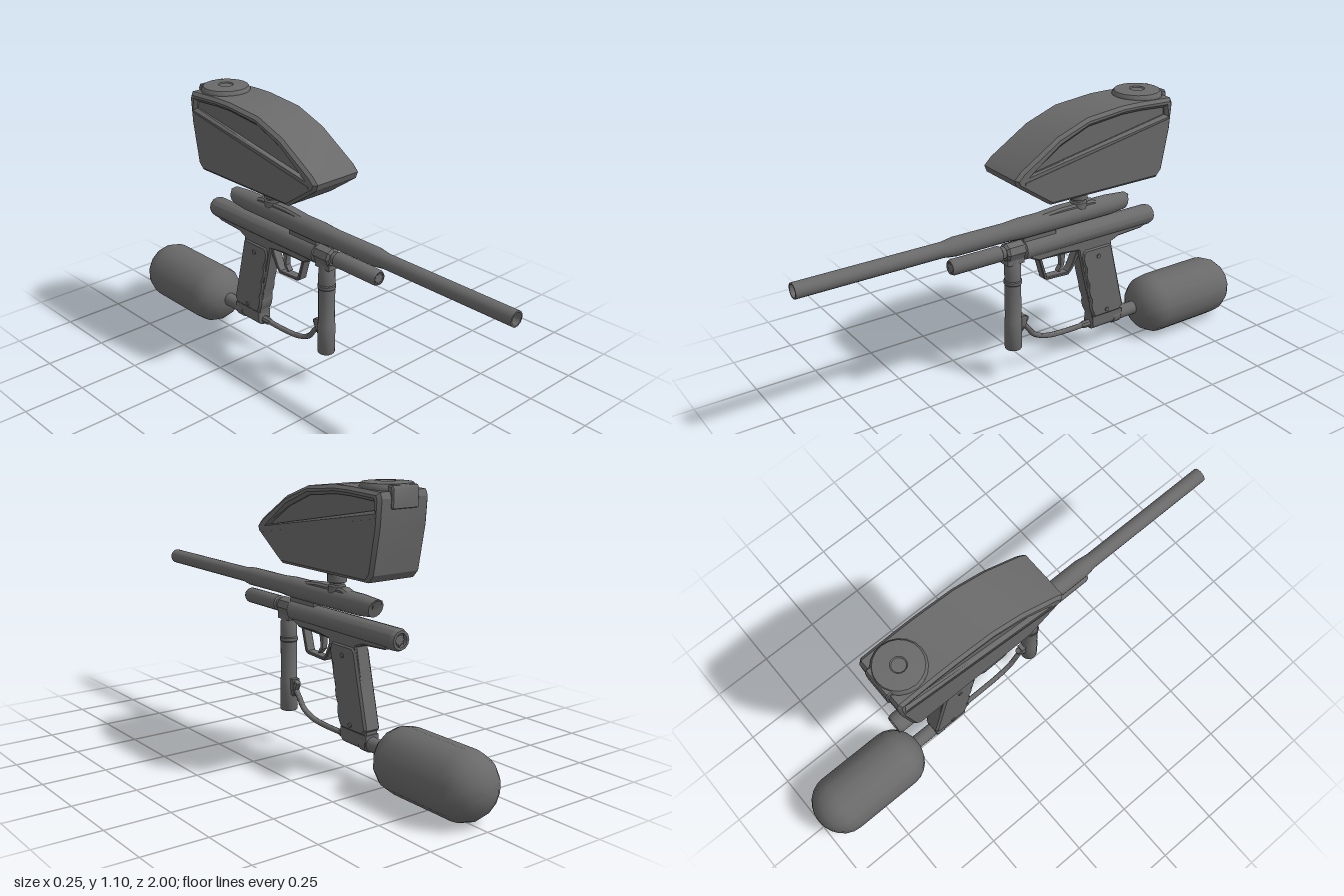
import * as THREE from 'three';
import { toCreasedNormals } from 'three/addons/utils/BufferGeometryUtils.js';

const charcoal = new THREE.MeshStandardMaterial({ color: 0x6a6a6a });

export function createModel() {
  const model = new THREE.Group();

  function add(name, geometry, x = 0, y = 0, z = 0, crease = 0.6) {
    const mesh = new THREE.Mesh(toCreasedNormals(geometry, crease), charcoal);
    mesh.name = name;
    mesh.position.set(x, y, z);
    model.add(mesh);
    return mesh;
  }
  // turned part standing on y; points are [radius, height], bottom to top
  const turned = (pts, sides = 16) =>
    new THREE.LatheGeometry(pts.map(p => new THREE.Vector2(p[0], p[1])), sides);
  // turned part lying along z; points are [radius, z], back to front
  const turnedZ = (pts, sides = 16) => turned(pts, sides).rotateX(Math.PI / 2);
  // side profile of [z, y] points, extruded to a full width across x
  function slab(pts, width, bevel = 0, hole = null) {
    const vec = p => new THREE.Vector2(p[0], p[1]);
    const shape = new THREE.Shape(pts.map(vec));
    if (hole) shape.holes.push(new THREE.Path(hole.map(vec)));
    const depth = width - 2 * bevel;
    return new THREE.ExtrudeGeometry(shape, {
      depth, bevelEnabled: bevel > 0, bevelThickness: bevel, bevelSize: bevel,
      bevelOffset: -bevel, bevelSegments: 1,
    }).translate(0, 0, -depth / 2).rotateY(-Math.PI / 2);
  }
  const box = (w, h, d) => new THREE.BoxGeometry(w, h, d);
  const path = pts => new THREE.CatmullRomCurve3(pts.map(p => new THREE.Vector3(0, p[1], p[0])));

  // barrel with hollow muzzle
  add('barrel', turnedZ([[0, 0.3], [0.03, 0.3], [0.03, 1], [0.024, 1], [0.024, 0.85], [0, 0.85]]), 0, 0.643, 0);

  // upper receiver: its back end is cut at a slant
  const receiver = turnedZ([[0, -0.42], [0.034, -0.42], [0.041, -0.34], [0.042, -0.05],
    [0.042, 0.08], [0.037, 0.15], [0.037, 0.37], [0.03, 0.42], [0, 0.42]]);
  const rp = receiver.attributes.position;
  for (let i = 0; i < rp.count; i++)
    if (rp.getZ(i) < -0.4) rp.setZ(i, rp.getZ(i) - rp.getY(i) * 0.3);
  add('upperReceiver', receiver, 0, 0.643, 0);
  add('receiverRidge', slab([[0.1, 0.66], [-0.02, 0.683], [-0.1, 0.69], [-0.25, 0.69],
    [-0.29, 0.675], [-0.435, 0.672], [-0.42, 0.64], [0.1, 0.64]], 0.05, 0.008));
  add('receiverBridge', box(0.04, 0.04, 0.15), 0, 0.6, 0);

  // lower receiver, with a recessed star-shaped plug at the back
  add('lowerReceiver', turnedZ([[0, -0.54], [0.026, -0.54], [0.026, -0.56], [0.036, -0.56],
    [0.042, -0.545], [0.042, 0.07], [0.034, 0.08], [0, 0.08]], 12), 0, 0.554, 0);
  const star = new THREE.Shape();
  for (let i = 0; i < 16; i++) {
    const r = i % 2 ? 0.016 : 0.024, a = i * Math.PI / 8;
    star[i ? 'lineTo' : 'moveTo'](r * Math.cos(a), r * Math.sin(a));
  }
  const starPlug = () => new THREE.ExtrudeGeometry(star, { depth: 0.012, bevelEnabled: false });
  add('rearPlug', starPlug(), 0, 0.554, -0.552);

  // front chamber, collar and block that carries the front grip
  add('frontChamber', turnedZ([[0, 0.1], [0.024, 0.1], [0.024, 0.17], [0.031, 0.175],
    [0.031, 0.38], [0.026, 0.391], [0.022, 0.391], [0.022, 0.38], [0, 0.38]]), 0, 0.562, 0);
  add('frontPlug', starPlug(), 0, 0.562, 0.377);
  add('chamberCollar', turnedZ([[0, 0.07], [0.038, 0.07], [0.038, 0.145], [0.03, 0.155], [0, 0.155]], 8), 0, 0.558, 0);
  add('frontGripMount', box(0.052, 0.05, 0.075), 0, 0.535, 0.115);

  // vertical front grip
  add('frontGrip', turned([[0, 0.137], [0.032, 0.137], [0.035, 0.142], [0.035, 0.265], [0.033, 0.27],
    [0.033, 0.42], [0.036, 0.424], [0.036, 0.436], [0.033, 0.44], [0.033, 0.5], [0.028, 0.51],
    [0.028, 0.54], [0, 0.54]]), 0, 0, 0.115);

  // grip frame under the receiver
  add('gripFrame', slab([[0.06, 0.555], [0.045, 0.515], [0.01, 0.498], [-0.1, 0.5], [-0.18, 0.49],
    [-0.21, 0.36], [-0.26, 0.165], [-0.26, 0.15], [-0.405, 0.15], [-0.408, 0.19], [-0.345, 0.49],
    [-0.38, 0.505], [-0.5, 0.512], [-0.54, 0.53], [-0.54, 0.555]], 0.06, 0.006));

  // grip panels with shallow finger ridges and screws
  const panel = [];
  for (let i = 0; i <= 12; i++) {
    const t = i / 12, ridge = i % 3 === 0 ? -0.004 : 0.003;
    panel.push([-0.195 - 0.058 * t + ridge, 0.475 - 0.295 * t]);
  }
  panel.push([-0.265, 0.168], [-0.395, 0.168], [-0.413, 0.19], [-0.345, 0.475], [-0.33, 0.488], [-0.21, 0.488]);
  add('gripPanels', slab(panel, 0.072, 0.008), 0, 0, 0, 0.4);
  for (const s of [-1, 1])
    for (const [y, z] of [[0.447, -0.275], [0.192, -0.325]])
      add('gripScrew', new THREE.CylinderGeometry(0.009, 0.009, 0.008, 8).rotateZ(Math.PI / 2), s * 0.037, y, z);

  // trigger guard and trigger
  add('triggerGuard', slab([[0.006, 0.505], [-0.022, 0.408], [-0.035, 0.4], [-0.14, 0.395], [-0.16, 0.415],
    [-0.195, 0.48], [-0.2, 0.505]], 0.04, 0.003,
    [[-0.01, 0.495], [-0.18, 0.488], [-0.15, 0.425], [-0.135, 0.408], [-0.035, 0.412]]));
  add('trigger', slab([[-0.1, 0.505], [-0.108, 0.46], [-0.108, 0.44], [-0.092, 0.418], [-0.1, 0.415],
    [-0.12, 0.435], [-0.125, 0.465], [-0.125, 0.505]], 0.022));

  // bottom adapter and air tank
  add('tankAdapter', turnedZ([[0, -0.4], [0.03, -0.4], [0.03, -0.265], [0.022, -0.26], [0, -0.26]]), 0, 0.135, 0);
  add('adapterBlock', box(0.06, 0.04, 0.15), 0, 0.15, -0.335);
  add('tankNeck', turnedZ([[0, -0.52], [0.028, -0.52], [0.028, -0.41], [0.033, -0.405],
    [0.033, -0.37], [0, -0.37]]), 0, 0.134, 0);
  const tank = [[0, -1]];
  for (let i = 1; i <= 6; i++) {
    const a = i * Math.PI / 12;
    tank.push([0.126 * Math.sin(a), -0.885 - 0.115 * Math.cos(a)]);
  }
  for (let i = 0; i <= 5; i++) {
    const a = i * Math.PI / 12;
    tank.push([0.126 * Math.cos(a), -0.6 + 0.11 * Math.sin(a)]);
  }
  tank.push([0, -0.49]);
  add('airTank', turnedZ(tank, 14), 0, 0.127, 0, 0.8);

  // hose between the front grip and the adapter
  add('hose', new THREE.TubeGeometry(path([[0.072, 0.235], [0.045, 0.203], [0.015, 0.166], [-0.045, 0.14],
    [-0.14, 0.131], [-0.27, 0.131]]), 32, 0.011, 8), 0, 0, 0, 1);
  add('hoseRearFitting', turnedZ([[0, -0.27], [0.016, -0.27], [0.016, -0.235], [0.012, -0.22], [0, -0.22]], 8), 0, 0.131, 0);
  add('hoseFrontFitting', turned([[0, -0.035], [0.012, -0.035], [0.015, -0.025], [0.015, 0.02], [0.012, 0.03], [0, 0.03]], 8),
    0, 0.236, 0.069).rotation.x = -0.5;
  add('hosePort', box(0.03, 0.045, 0.03), 0, 0.25, 0.08);

  // feed neck
  add('feedNeck', turned([[0, 0.66], [0.034, 0.66], [0.034, 0.692], [0.028, 0.697], [0.028, 0.704], [0.037, 0.707],
    [0.037, 0.737], [0.03, 0.742], [0.03, 0.752], [0.036, 0.754], [0.036, 0.78], [0, 0.78]]), 0, 0, -0.195);

  // hopper: a core, with an outer shell that leaves the upper side panels recessed
  const outline = [[0.17, 0.886], [0.16, 0.86], [0.03, 0.77], [0.01, 0.758], [-0.5, 0.758], [-0.525, 0.785],
    [-0.557, 0.95], [-0.565, 1.05], [-0.555, 1.073], [-0.4, 1.08], [-0.32, 1.08], [-0.155, 1.064],
    [-0.02, 1.015], [0.14, 0.915]];
  const opening = [[0.1, 0.895], [-0.03, 0.977], [-0.16, 1.03], [-0.32, 1.047], [-0.4, 1.047],
    [-0.525, 1.04], [-0.53, 1.01]];
  add('hopperShell', slab(outline, 0.226, 0.012, opening), 0, 0, 0, 0.4);
  add('hopperCore', slab(outline.map(([z, y]) => [-0.2 + (z + 0.2) * 0.96, 0.92 + (y - 0.92) * 0.95]), 0.19), 0, 0, 0, 0.4);
  for (const s of [-1, 1])
    add('hopperSeam', slab([[0.13, 0.872], [-0.545, 0.994], [-0.545, 0.985], [0.13, 0.863]], 0.012), s * 0.109, 0, 0);

  // hopper lid with knob and rear latch
  add('hopperLid', turned([[0, 1.06], [0.098, 1.06], [0.098, 1.084], [0.09, 1.096], [0.03, 1.1],
    [0.026, 1.096], [0, 1.096]], 20), 0, 0, -0.472);
  add('lidLatch', slab([[-0.5, 1.096], [-0.565, 1.092], [-0.572, 1.08], [-0.57, 1.015], [-0.54, 1.005], [-0.5, 1.05]], 0.12, 0.005));

  return model;
}
